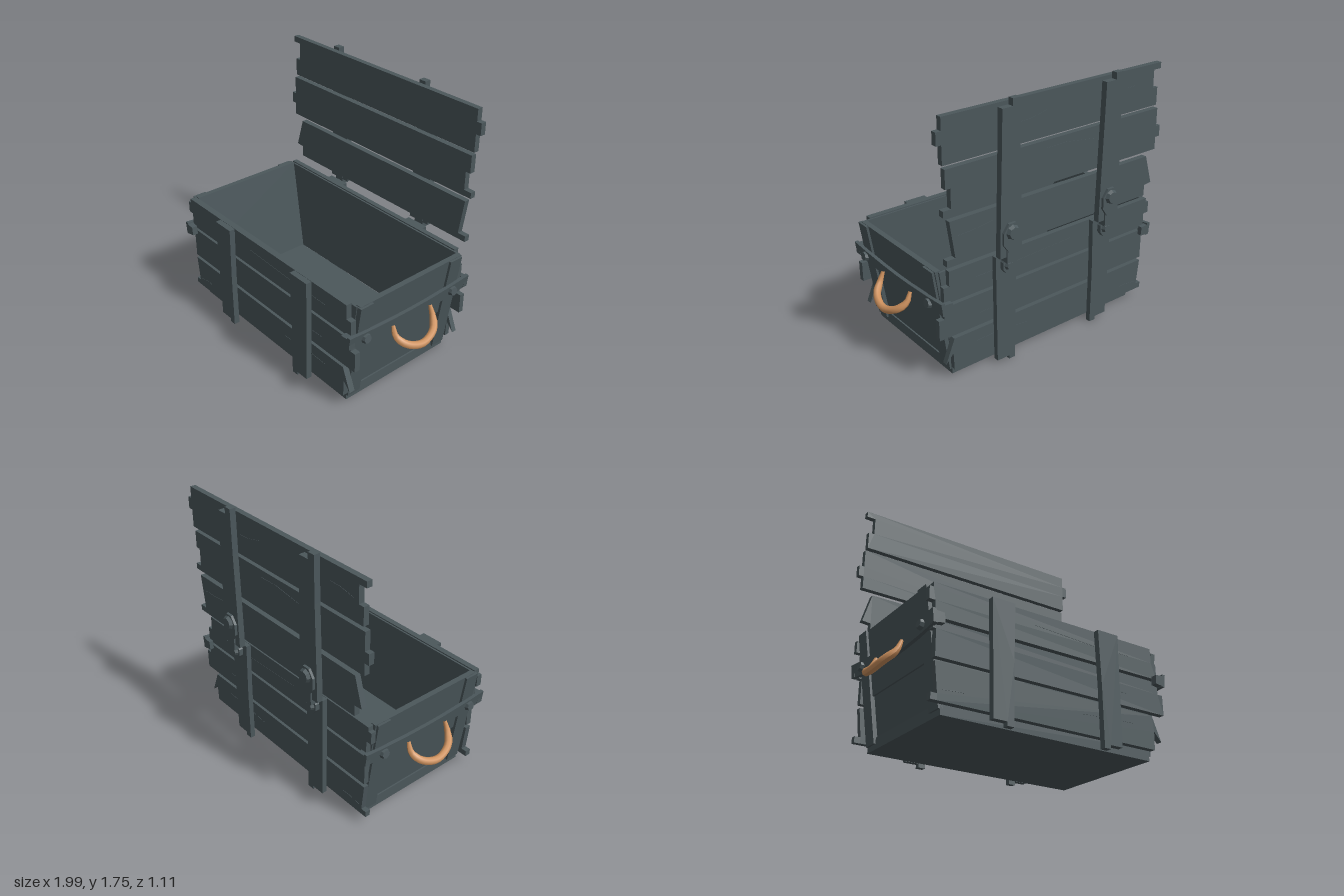
import * as THREE from 'three';

export function createModel() {
  const root = new THREE.Group();
  const wood = new THREE.MeshStandardMaterial({ color: 0x4b575b });
  wood.name = 'slateWood';
  const rope = new THREE.MeshStandardMaterial({ color: 0xd0935f });
  rope.name = 'tanRope';

  const add = (name, geo, mat = wood, parent = root) => {
    const m = new THREE.Mesh(geo, mat);
    m.name = name;
    parent.add(m);
    return m;
  };
  // Outline in x-y, extruded from z0 to z1
  const plate = (pts, z0, z1) => {
    const g = new THREE.ExtrudeGeometry(
      new THREE.Shape(pts.map(p => new THREE.Vector2(p[0], p[1]))),
      { depth: z1 - z0, bevelEnabled: false });
    g.translate(0, 0, z0);
    return g;
  };
  const box = (x0, x1, y0, y1, z0, z1) => plate([[x0, y0], [x1, y0], [x1, y1], [x0, y1]], z0, z1);
  const mirrorX = pts => pts.map(([x, y]) => [-x, y]);
  // Outer x of the leaning end walls at height y
  const endX = y => 0.745 + (y - 0.09) * 0.147;
  // Upright leaning with the end wall, between two offsets from its face
  const leaning = (a, b, y0, y1) =>
    [[endX(y0) + a, y0], [endX(y0) + b, y0], [endX(y1) + b, y1], [endX(y1) + a, y1]];

  // Base and inner lining
  add('base', box(-0.755, 0.755, 0.015, 0.09, -0.385, 0.47));
  const lining = [[-0.745, 0.09], [0.745, 0.09], [0.835, 0.762], [-0.835, 0.762]];
  add('frontLining', plate(lining, 0.458, 0.472));
  add('backLining', plate(lining, -0.402, -0.388));

  // Broken-ended planks, the same outlines front and back
  const planks = [
    [[-0.8, 0.075], [0.77, 0.08], [0.775, 0.2], [0.83, 0.14], [0.765, 0.3], [-0.82, 0.3], [-0.8, 0.115], [-0.84, 0.115], [-0.84, 0.075]],
    [[-0.82, 0.325], [0.87, 0.325], [0.87, 0.46], [0.83, 0.46], [0.83, 0.54], [-0.84, 0.54], [-0.84, 0.49], [-0.82, 0.49]],
    [[-0.83, 0.562], [0.83, 0.562], [0.83, 0.67], [0.79, 0.67], [0.79, 0.77], [-0.845, 0.77], [-0.845, 0.74], [-0.87, 0.74], [-0.87, 0.66], [-0.83, 0.66]],
  ];
  planks.forEach(p => {
    add('frontPlank', plate(p, 0.47, 0.51));
    add('backPlank', plate(p, -0.435, -0.4));
  });

  // Vertical straps with a small foot at the inner lower corner
  const strap = [[0.325, 0.005], [0.372, 0.005], [0.372, 0.03], [0.465, 0.03], [0.475, 0.768], [0.315, 0.768], [0.325, 0.4]];
  for (const pts of [strap, mirrorX(strap)]) {
    add('frontStrap', plate(pts, 0.51, 0.55));
    add('backStrap', plate(pts, -0.47, -0.435));
  }

  // Open lid standing upright
  const lid = new THREE.Group();
  lid.name = 'lid';
  root.add(lid);
  [
    [[-0.77, 1.11], [-0.83, 0.91], [-0.77, 0.905], [-0.77, 0.83], [0.83, 0.83], [0.83, 0.87], [0.77, 0.87], [0.805, 1.11]],
    [[-0.845, 1.43], [-0.845, 1.305], [-0.88, 1.305], [-0.88, 1.23], [-0.845, 1.23], [-0.845, 1.145], [0.845, 1.145],
      [0.845, 1.185], [0.79, 1.185], [0.79, 1.31], [0.825, 1.31], [0.825, 1.43]],
    [[-0.85, 1.735], [-0.85, 1.695], [-0.79, 1.695], [-0.79, 1.575], [-0.83, 1.575], [-0.83, 1.455], [0.84, 1.455],
      [0.84, 1.575], [0.875, 1.575], [0.875, 1.655], [0.84, 1.655], [0.84, 1.735]],
  ].forEach(p => add('lidPlank', plate(p, -0.478, -0.44), wood, lid));
  const lidStrap = (a, b, notch) => [
    [a - 0.005, 0.78], [b + 0.005, 0.78], [b - 0.01, 1.45], [b - 0.015, notch ? 1.71 : 1.755],
    [a + 0.065, notch ? 1.71 : 1.755], [a + 0.065, notch ? 1.755 : 1.71], [a + 0.012, notch ? 1.755 : 1.71], [a + 0.01, 1.45]];
  add('lidStrap', plate(lidStrap(0.32, 0.475, true), -0.52, -0.478), wood, lid);
  add('lidStrap', plate(lidStrap(-0.48, -0.32, true), -0.52, -0.478), wood, lid);

  // Hinges: plates with eight-sided bolts
  const octagon = (cx, cy, rx, ry) => Array.from({ length: 8 }, (_, i) => {
    const a = (i + 0.5) * Math.PI / 4;
    return [cx + rx * Math.cos(a), cy + ry * Math.sin(a)];
  });
  const bolt = (r, x, y, z, depth) => {
    const g = new THREE.CylinderGeometry(r * 0.75, r, depth, 8).toNonIndexed();
    g.rotateX(-Math.PI / 2);
    g.translate(x, y, z - depth / 2);
    g.computeVertexNormals();
    return g;
  };
  for (const s of [-1, 1]) {
    const x = s * 0.4;
    add('hingePlate', plate(octagon(x, 0.91, 0.07, 0.1), -0.538, -0.515));
    add('hingeBolt', bolt(0.05, x, 0.945, -0.535, 0.025));
    add('hingeTongue', box(x - 0.035, x + 0.035, 0.74, 0.86, -0.53, -0.475));
    add('lowerHingePlate', plate(octagon(x, 0.71, 0.045, 0.06), -0.5, -0.465));
    add('lowerHingeBolt', bolt(0.033, x, 0.71, -0.5, 0.022));
  }

  // Thin splits in the wood: [x, y, length, tilt]
  const cracks = [[-0.15, 0.69, 0.75, -0.02], [0.2, 0.2, 0.4, 0.02], [-0.78, 0.14, 0.15, 0.01], [0.48, 0.41, 0.09, 0]];
  const crackShape = ([x, y, l, t]) => [[x, y], [x + l * 0.6, y + t - 0.003], [x + l, y + t], [x + l * 0.6, y + t + 0.003]];
  cracks.forEach(c => {
    add('frontCrack', plate(crackShape(c), 0.509, 0.512));
    add('backCrack', plate(crackShape(c), -0.437, -0.434));
  });
  [[-0.3, 1.35, 0.4, 0.03], [0.5, 1.03, 0.25, -0.02], [-0.75, 1.6, 0.2, 0.02], [0.1, 1.62, 0.2, -0.03]].forEach(c =>
    add('lidCrack', plate(crackShape(c), -0.48, -0.477), wood, lid));

  // End walls, built on +x and turned into the other side by mirrored outlines
  for (const s of [1, -1]) {
    const side = p => (s > 0 ? p : mirrorX(p));
    add('endLowerBoard', plate(side(leaning(-0.025, 0, 0.09, 0.345)), -0.39, 0.46));
    add('endUpperBoard', plate(side(leaning(-0.025, 0.012, 0.345, 0.768)), -0.39, 0.46));
    for (const z of [-0.38, 0.37]) add('endBatten', plate(side(leaning(-0.005, 0.028, 0.05, 0.765)), z, z + 0.1));

    // Sagging cross band: outline in z-y, leaned with the wall
    const zs = [-0.465, -0.3, -0.1, 0.04, 0.2, 0.4, 0.55];
    const sag = z => 0.03 * Math.min(1, ((z - 0.04) / 0.5) ** 2);
    const band = plate([...zs.map(z => [-z, 0.475 + sag(z)]), ...zs.slice().reverse().map(z => [-z, 0.56 + sag(z)])], 0, 0.025);
    band.rotateY(Math.PI / 2);
    const p = band.attributes.position;
    for (let i = 0; i < p.count; i++) p.setX(i, p.getX(i) + endX(p.getY(i)) + 0.026);
    if (s < 0) {
      // Half turn, then shift back so the band stays in line with the body
      band.rotateY(Math.PI);
      band.translate(0, 0, 0.085);
    }
    band.computeVertexNormals();
    add('endBand', band);

    // Band ends folded round the corners
    const fold = side([[0.785, 0.515], [0.86, 0.505], [0.865, 0.58], [0.79, 0.575]]);
    add('bandFold', plate(fold, 0.505, 0.55));
    add('bandFold', plate(fold, -0.465, -0.43));

    // Band bolts
    for (const z of [-0.32, 0.42]) {
      const g = new THREE.CylinderGeometry(0.028, 0.035, 0.025, 8).toNonIndexed();
      g.rotateZ(-s * (Math.PI / 2 - 0.146));
      g.translate(s * 0.871, 0.535, z);
      g.computeVertexNormals();
      add('bandBolt', g);
    }

    // Rope handle hanging outward, thinner at its ends
    const path = new THREE.CatmullRomCurve3([
      [0.865, 0.52, 0.2], [0.895, 0.45, 0.2], [0.945, 0.4, 0.155], [0.972, 0.367, 0.04],
      [0.945, 0.4, -0.075], [0.895, 0.45, -0.118], [0.865, 0.52, -0.118],
    ].map(([x, y, z]) => new THREE.Vector3(s * x, y, z)));
    const segs = 20, radial = 8;
    const tube = new THREE.TubeGeometry(path, segs, 0.025, radial);
    const tp = tube.attributes.position, c = new THREE.Vector3(), v = new THREE.Vector3();
    for (let i = 0; i < tp.count; i++) {
      const u = Math.floor(i / (radial + 1)) / segs;
      path.getPointAt(u, c);
      v.fromBufferAttribute(tp, i).sub(c).multiplyScalar(0.45 + 0.55 * Math.min(1, Math.min(u, 1 - u) * 5)).add(c);
      tp.setXYZ(i, v.x, v.y, v.z);
    }
    tube.computeVertexNormals();
    add('ropeHandle', tube, rope);
  }
  return root;
}
